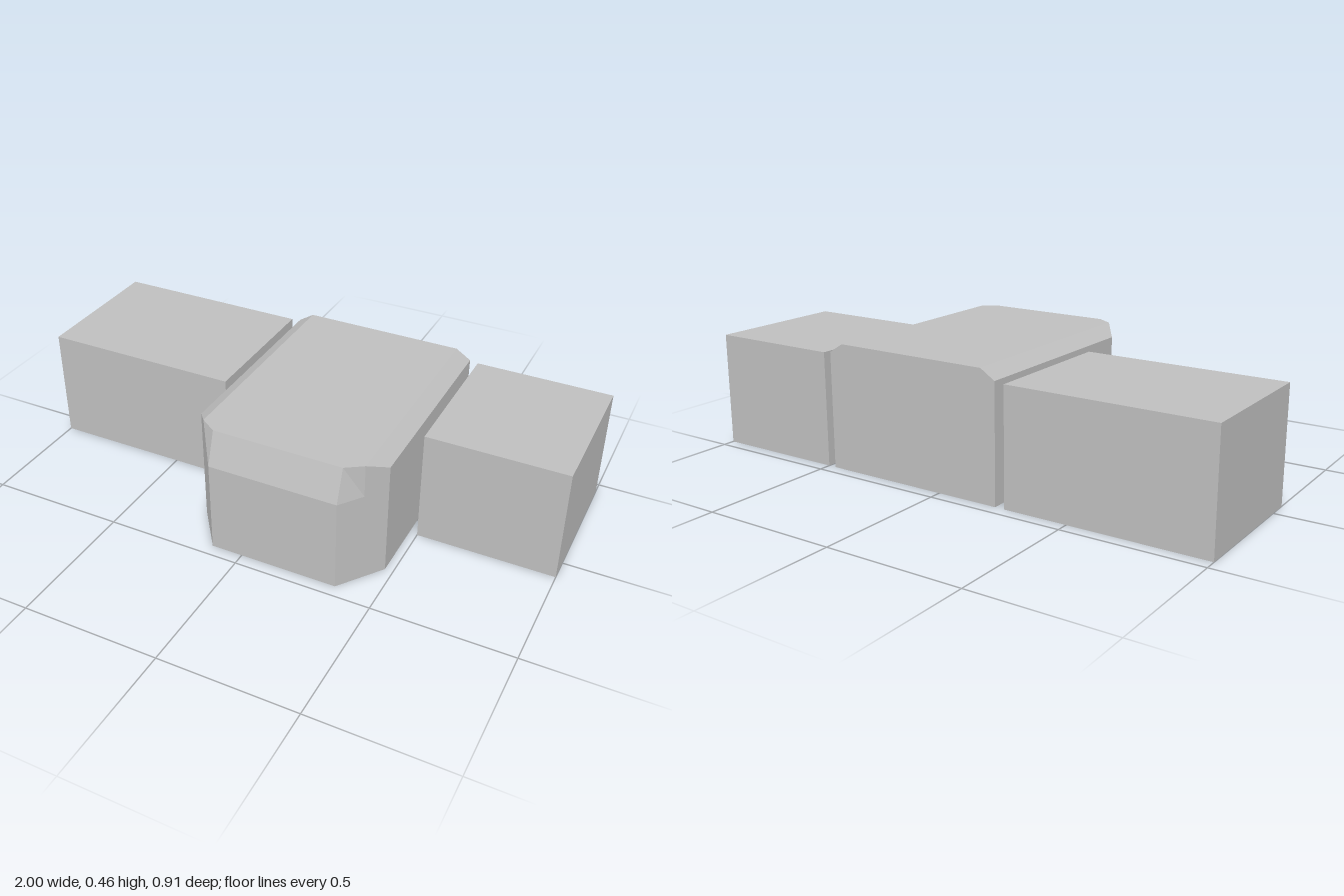
import * as THREE from 'three';

// Box given by its minimum and maximum corners
function block(name, x0, x1, y0, y1, z0, z1, material) {
  const geometry = new THREE.BoxGeometry(x1 - x0, y1 - y0, z1 - z0);
  geometry.translate((x0 + x1) / 2, (y0 + y1) / 2, (z0 + z1) / 2);
  const mesh = new THREE.Mesh(geometry, material);
  mesh.name = name;
  return mesh;
}

// Rectangle in plan; z is negated because the extrusion is tipped upright
const rectangle = (x0, x1, z0, z1) => [
  [x0, -z1], [x1, -z1], [x1, -z0], [x0, -z0],
].map(([x, y]) => new THREE.Vector2(x, y));

const SLOT_Z = [-0.36, -0.095];
const SLOT_HEIGHT = 0.34;
const BACK = -0.455;

// Side block with a deep slot in its underside near the outer end
function createWing(name, x0, x1, front, slot0, slot1, material) {
  const wing = new THREE.Group();
  wing.name = name;
  const plan = new THREE.Shape(rectangle(x0, x1, BACK, front));
  plan.holes.push(new THREE.Path(rectangle(slot0, slot1, ...SLOT_Z).reverse()));
  const geometry = new THREE.ExtrudeGeometry(plan, { depth: SLOT_HEIGHT, bevelEnabled: false });
  geometry.rotateX(-Math.PI / 2);
  const lower = new THREE.Mesh(geometry, material);
  lower.name = name + 'Slotted';
  wing.add(lower, block(name + 'Cap', x0, x1, SLOT_HEIGHT, 0.42, BACK, front, material));
  return wing;
}

// Central body: mirrored half-points joined into flat polygons
function createBody(material) {
  const points = {
    base0: [0.35, 0, BACK], base1: [0.35, 0, 0.3], base2: [0.235, 0, 0.455],
    side0: [0.35, 0.425, BACK], side1: [0.35, 0.425, 0.3],
    top0: [0.295, 0.46, BACK], top1: [0.295, 0.46, 0.374], top2: [0.235, 0.46, 0.414],
    brow1: [0.295, 0.34, 0.374], brow2: [0.235, 0.34, 0.455],
  };
  const at = (key, s) => [points[key][0] * s, points[key][1], points[key][2]];
  const positions = [];
  const addPolygon = (p) => {
    for (let i = 1; i < p.length - 1; i++) positions.push(...p[0], ...p[i], ...p[i + 1]);
  };

  // Faces repeated on both sides: wall, roof bevel, front corner, slanted corner
  const sideFaces = [
    ['base0', 'side0', 'side1', 'base1'],
    ['side0', 'top0', 'top1', 'side1'],
    ['base1', 'side1', 'top1', 'brow1', 'brow2', 'base2'],
    ['brow1', 'top1', 'top2', 'brow2'],
  ];
  for (const face of sideFaces) {
    addPolygon(face.map((key) => at(key, 1)));
    addPolygon(face.map((key) => at(key, -1)).reverse());
  }

  // Faces spanning the middle: roof, underside, front, front slope, back
  const middleFaces = [
    ['top2', 'top1', 'top0'],
    ['base0', 'base1', 'base2'],
    ['base2', 'brow2'],
    ['brow2', 'top2'],
    ['top0', 'side0', 'base0'],
  ];
  for (const face of middleFaces) {
    addPolygon([
      ...face.map((key) => at(key, 1)),
      ...face.map((key) => at(key, -1)).reverse(),
    ]);
  }

  const geometry = new THREE.BufferGeometry();
  geometry.setAttribute('position', new THREE.Float32BufferAttribute(positions, 3));
  geometry.translate(0.12, 0, 0);
  geometry.computeVertexNormals();
  const mesh = new THREE.Mesh(geometry, material);
  mesh.name = 'centralBody';
  return mesh;
}

export function createModel() {
  const grey = new THREE.MeshStandardMaterial({ color: 0xbfbfbf });
  grey.name = 'grey';

  const model = new THREE.Group();
  model.name = 'threePartBlock';
  model.add(
    createBody(grey),
    createWing('rightWing', -1, -0.265, 0.073, -0.98, -0.92, grey),
    createWing('leftWing', 0.5, 1, 0.081, 0.925, 0.98, grey),
    // Tabs bridging the gaps between body and wings
    block('rightTab', -0.265, -0.23, 0, SLOT_HEIGHT, ...SLOT_Z, grey),
    block('leftTab', 0.47, 0.5, 0, SLOT_HEIGHT, ...SLOT_Z, grey),
  );
  return model;
}
